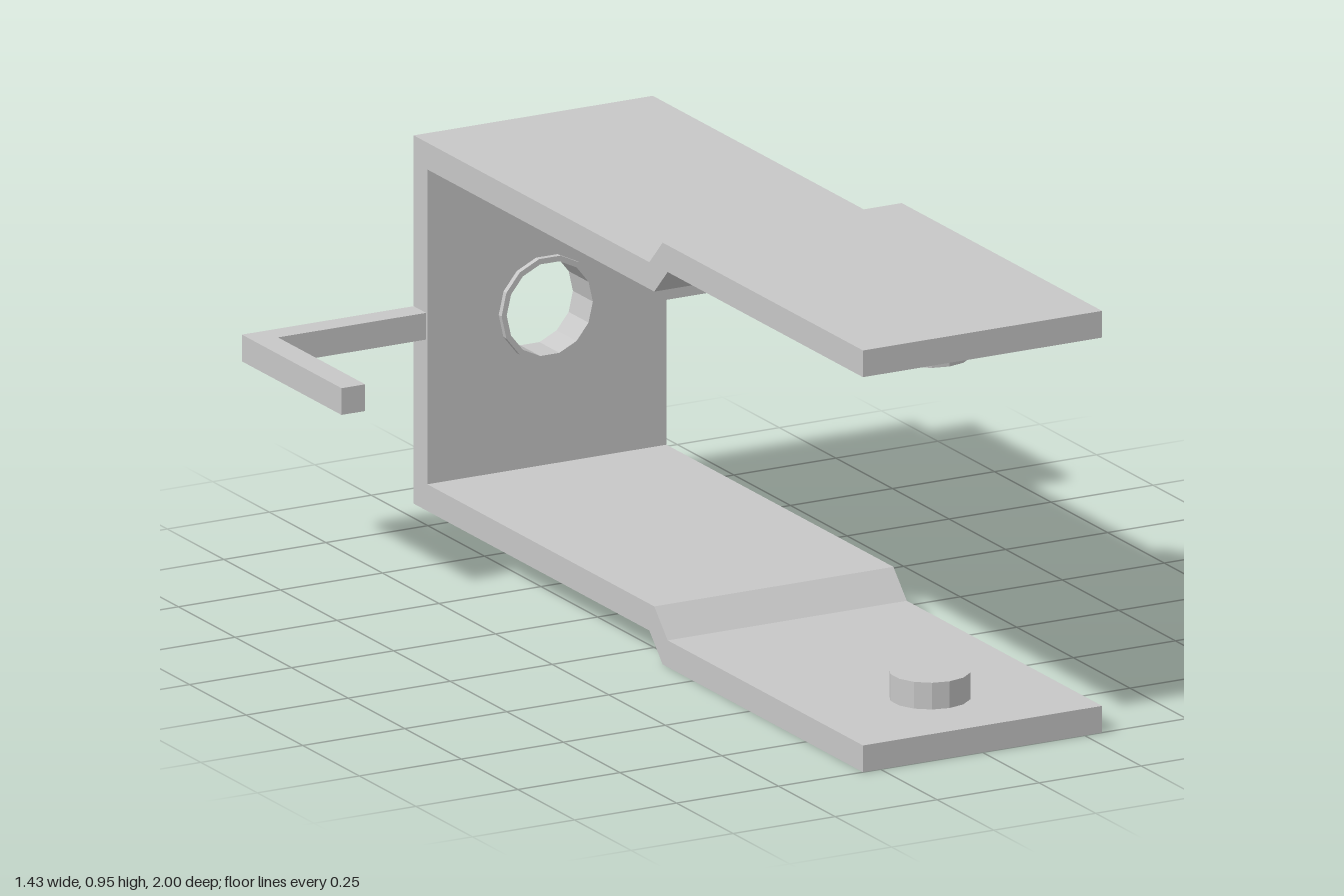
import * as THREE from 'three';

const HALF_W = 0.293, MID_Y = 0.4735, SIDES = 14;

const toShape = (pts) => new THREE.Shape(pts.map(([a, b]) => new THREE.Vector2(a, b)));
const extrude = (shape, depth) =>
  new THREE.ExtrudeGeometry(shape, { depth, bevelEnabled: false, curveSegments: 1 });
const ringPoints = (r) => Array.from({ length: SIDES }, (_, i) => {
  const a = (i / SIDES) * Math.PI * 2;
  return new THREE.Vector2(r * Math.cos(a), r * Math.sin(a));
});

export function createModel() {
  const model = new THREE.Group();
  model.name = 'clampBracket';
  const steel = new THREE.MeshStandardMaterial({ color: 0xc7c7c7, flatShading: true });
  steel.name = 'light grey steel';

  const add = (name, geometry) => {
    const mesh = new THREE.Mesh(geometry, steel);
    mesh.name = name;
    model.add(mesh);
    return mesh;
  };

  // Joggled arms, profile in (z, y) for the lower one and mirrored for the upper
  const profile = [
    [1, 0], [1, 0.06], [0.137, 0.06], [0.078, 0.12],
    [-0.985, 0.12], [-0.985, 0.06], [0.056, 0.06], [0.115, 0],
  ];
  for (const [name, upper] of [['lower', false], ['upper', true]]) {
    const pts = profile.map(([z, y]) => [z, upper ? 2 * MID_Y - y : y]);
    const arm = extrude(toShape(pts), 2 * HALF_W);
    arm.rotateY(-Math.PI / 2).translate(HALF_W, 0, 0);
    add(name + 'Arm', arm);

    // Contact button on the inner face of the arm
    const button = new THREE.CylinderGeometry(0.088, 0.088, 0.06, SIDES);
    add(name + 'Button', button).position.set(0, upper ? 2 * MID_Y - 0.09 : 0.09, 0.767);
  }

  // Back plate with a round hole
  const plate = toShape([[-HALF_W, -0.354], [HALF_W, -0.354], [HALF_W, 0.354], [-HALF_W, 0.354]]);
  plate.holes.push(new THREE.Path(ringPoints(0.112)));
  add('backPlate', extrude(plate, 0.06)).position.set(0, MID_Y, -0.985);

  // Thin bushing lining the hole
  const bushing = new THREE.Shape(ringPoints(0.118));
  bushing.holes.push(new THREE.Path(ringPoints(0.1055)));
  add('bushing', extrude(bushing, 0.088)).position.set(0, MID_Y, -1);

  // L-shaped side hooks, outline in (x, z)
  const hook = [
    [HALF_W, -0.985], [0.714, -0.985], [0.714, -0.545],
    [0.656, -0.545], [0.656, -0.93], [HALF_W, -0.93],
  ];
  for (const [name, s] of [['leftHook', 1], ['rightHook', -1]]) {
    const geometry = extrude(toShape(hook.map(([x, z]) => [x * s, z])), 0.06);
    geometry.rotateX(Math.PI / 2).translate(0, MID_Y + 0.03, 0);
    add(name, geometry);
  }
  return model;
}
